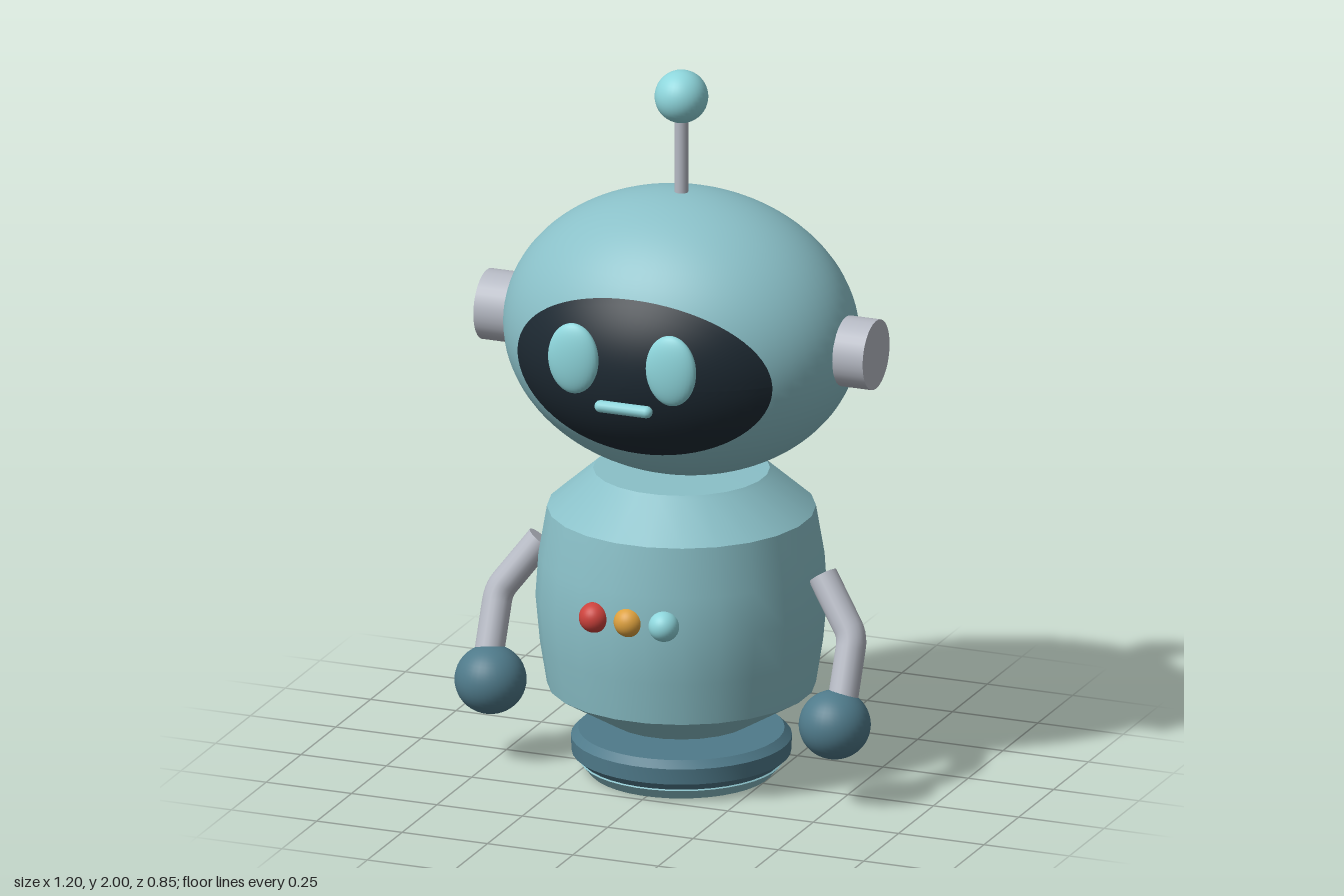
import * as THREE from 'three';
import { toCreasedNormals } from 'three/addons/utils/BufferGeometryUtils.js';

const material = (name, color) => {
  const m = new THREE.MeshStandardMaterial({ color });
  m.name = name;
  return m;
};

export function createModel() {
  const shell = material('shell teal', 0x8ac0c8);
  const glow = material('glow teal', 0x8ed6dc);
  const slate = material('slate teal', 0x4f7a8a);
  const grey = material('light grey', 0xb6bac4);
  const black = material('visor black', 0x1d2932);
  const red = material('button red', 0xcc423c);
  const amber = material('button amber', 0xdca03e);

  const model = new THREE.Group();
  model.name = 'robot';
  const CZ = -0.03; // depth of the body axis

  const add = (name, geometry, mat, x = 0, y = 0, z = 0) => {
    const mesh = new THREE.Mesh(geometry, mat);
    mesh.name = name;
    mesh.position.set(x, y, z);
    model.add(mesh);
    return mesh;
  };
  const ellipsoid = (rx, ry, rz, w = 32, h = 24) =>
    new THREE.SphereGeometry(1, w, h).scale(rx, ry, rz);
  const turned = (profile, sides) => toCreasedNormals(
    new THREE.LatheGeometry(profile.map(([r, y]) => new THREE.Vector2(r, y)), sides)
      .rotateY(Math.PI / sides), 0.4);

  // Head
  const R = { x: 0.497, y: 0.395, z: 0.395 }, headY = 1.26;
  add('head', ellipsoid(R.x, R.y, R.z, 64, 48), shell, 0, headY, CZ);

  // Visor: an oval wrapped on the head, swelling slightly in the middle
  const visor = new THREE.RingGeometry(0.001, 1, 72, 14);
  const p = visor.attributes.position;
  for (let i = 0; i < p.count; i++) {
    const u = p.getX(i), v = p.getY(i);
    const x = u * 0.373, y = v * 0.228 - 0.035;
    const z = R.z * Math.sqrt(1 - (x / R.x) ** 2 - (y / R.y) ** 2);
    p.setXYZ(i, x, y, z + 0.003 + 0.022 * (1 - u * u - v * v));
  }
  visor.computeVertexNormals();
  add('visor', visor, black, 0, headY, CZ);

  // Mouth
  add('mouth', new THREE.CapsuleGeometry(0.017, 0.134, 6, 12).rotateZ(Math.PI / 2),
    glow, 0, 1.162, 0.386);

  // Antenna
  add('antennaRod', new THREE.CylinderGeometry(0.019, 0.019, 0.28, 16), grey, 0, 1.75, CZ);
  add('antennaBall', ellipsoid(0.073, 0.073, 0.073), glow, 0, 1.927, CZ);

  // Body
  add('body', turned([
    [0, 0.152], [0.2, 0.152], [0.365, 0.25], [0.384, 0.37], [0.396, 0.5],
    [0.388, 0.62], [0.365, 0.755], [0.25, 0.855], [0.24, 0.864], [0, 0.866],
  ], 24), shell, 0, 0, CZ);

  // Chest buttons
  [['red', red], ['amber', amber], ['teal', glow]].forEach(([name, mat], i) =>
    add(name + 'Button', ellipsoid(0.042, 0.042, 0.042), mat, (i - 1) * 0.102, 0.54, 0.346));

  // Hover base with a lighter rim underneath
  add('base', turned([
    [0, 0.008], [0.245, 0.008], [0.285, 0.045], [0.298, 0.056],
    [0.3, 0.1], [0.28, 0.12], [0, 0.12],
  ], 40), slate, 0, 0, CZ);
  add('baseRim', turned([
    [0.235, 0.008], [0.237, 0], [0.25, 0], [0.276, 0.03], [0.27, 0.034],
  ], 40), shell, 0, 0, CZ);

  // Mirrored parts
  for (const [side, s] of [['left', 1], ['right', -1]]) {
    add(side + 'Eye', ellipsoid(0.073, 0.1, 0.029), glow, s * 0.143, 1.293, 0.396);
    add(side + 'Ear', new THREE.CylinderGeometry(0.097, 0.097, 0.15, 32).rotateZ(Math.PI / 2),
      grey, s * 0.495, headY, CZ);

    // Arm: two straight lengths joined by a tight elbow
    const shoulder = new THREE.Vector3(s * 0.412, 0.605, -0.035);
    const elbow = new THREE.Vector3(s * 0.518, 0.46, 0.012);
    const wrist = new THREE.Vector3(s * 0.518, 0.28, 0.09);
    const before = elbow.clone().lerp(shoulder, 0.15);
    const after = elbow.clone().lerp(wrist, 0.15);
    const path = new THREE.CurvePath();
    path.add(new THREE.LineCurve3(shoulder, before));
    path.add(new THREE.QuadraticBezierCurve3(before, elbow, after));
    path.add(new THREE.LineCurve3(after, wrist));
    add(side + 'Arm', new THREE.TubeGeometry(path, 30, 0.041, 20), grey);

    const cap = add(side + 'ShoulderCap', new THREE.CircleGeometry(0.041, 20), grey,
      shoulder.x, shoulder.y, shoulder.z);
    cap.quaternion.setFromUnitVectors(new THREE.Vector3(0, 0, 1),
      shoulder.clone().sub(elbow).normalize());

    add(side + 'Hand', ellipsoid(0.098, 0.095, 0.098), slate, s * 0.504, 0.235, 0.105);
  }
  return model;
}
